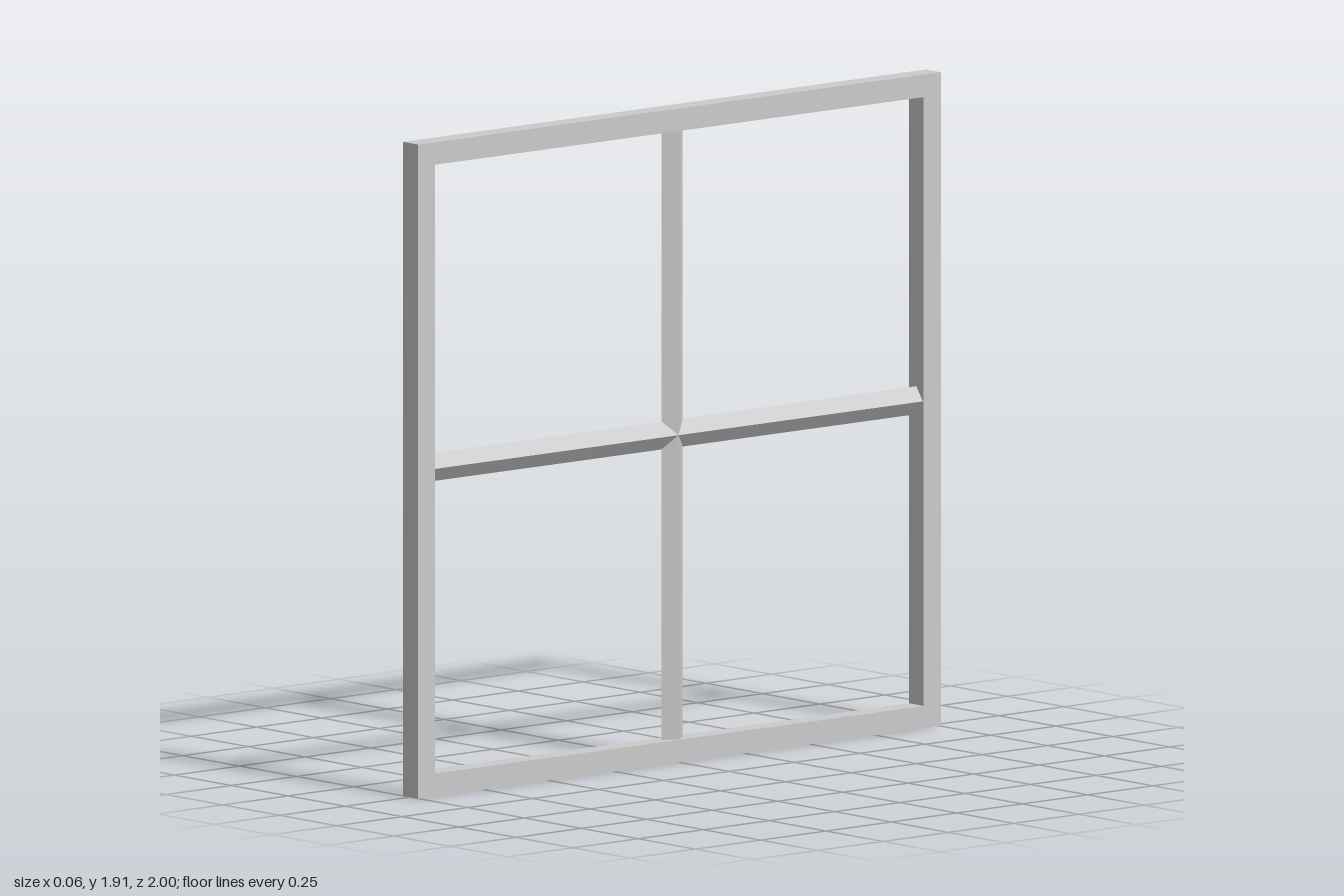
import * as THREE from 'three';

const WIDTH = 2, HEIGHT = 1.91, RAIL = 0.066, DEPTH = 0.065;
const BAR_HALF_WIDTH = 0.041, BAR_HALF_DEPTH = 0.029;

export function createModel() {
  const group = new THREE.Group();
  group.name = 'windowFrame';
  const material = new THREE.MeshStandardMaterial({ color: 0xcccccc, flatShading: true });

  const rectangle = (target, w, h) => {
    target.moveTo(-w, -h);
    target.lineTo(w, -h);
    target.lineTo(w, h);
    target.lineTo(-w, h);
    target.closePath();
    return target;
  };

  // Outer frame: a rectangle with one large opening, standing in the yz plane
  const outline = rectangle(new THREE.Shape(), WIDTH / 2, HEIGHT / 2);
  outline.holes.push(rectangle(new THREE.Path(), WIDTH / 2 - RAIL, HEIGHT / 2 - RAIL));
  const frameGeometry = new THREE.ExtrudeGeometry(outline, { depth: DEPTH, bevelEnabled: false });
  frameGeometry.translate(0, 0, -DEPTH / 2).rotateY(Math.PI / 2);
  const frame = new THREE.Mesh(frameGeometry, material);
  frame.name = 'outerFrame';
  frame.position.y = HEIGHT / 2;
  group.add(frame);

  // Glazing bars with a diamond section; they cross at the centre
  const addBar = (name, length, tilt) => {
    const geometry = new THREE.CylinderGeometry(1, 1, length, 4);
    geometry.scale(BAR_HALF_DEPTH, 1, BAR_HALF_WIDTH).rotateX(tilt);
    const bar = new THREE.Mesh(geometry, material);
    bar.name = name;
    bar.position.y = HEIGHT / 2;
    group.add(bar);
  };
  addBar('verticalBar', HEIGHT - 2 * RAIL, 0);
  addBar('horizontalBar', WIDTH - 2 * RAIL, Math.PI / 2);

  return group;
}
